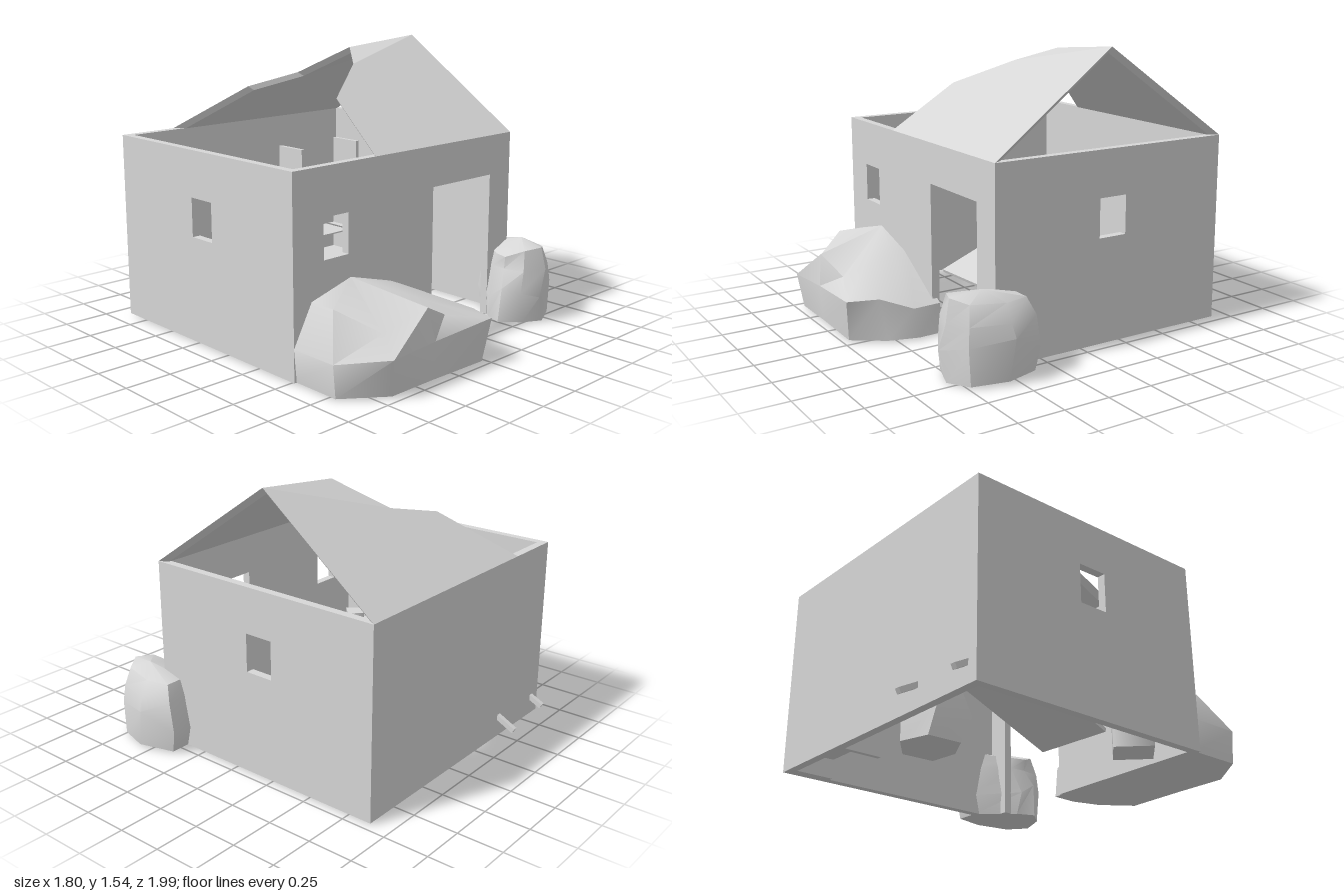
import * as THREE from 'three';
import { toCreasedNormals } from 'three/addons/utils/BufferGeometryUtils.js';

const stone = new THREE.MeshStandardMaterial({ color: 0xd6d6d6 });
stone.name = 'paleGrey';

const X0 = -0.905, X1 = 0.71, Z0 = -0.89, Z1 = 0.53; // house footprint
const BASE = 0.01, TOP = 1.04, T = 0.045;
const RIDGE_Z = -0.185, RIDGE_Y = 1.545;

function add(parent, name, geometry, x = 0, y = 0, z = 0) {
  const mesh = new THREE.Mesh(geometry, stone);
  mesh.name = name;
  mesh.position.set(x, y, z);
  parent.add(mesh);
  return mesh;
}

const outline = (pts) => pts.map(([x, y]) => new THREE.Vector2(x, y));
const rect = (x0, y0, x1, y1) => outline([[x0, y0], [x1, y0], [x1, y1], [x0, y1]]);

// Unindexed geometry from a flat list of corner points, three per triangle
function fromCorners(corners) {
  const g = new THREE.BufferGeometry().setFromPoints(corners);
  g.computeVertexNormals();
  return g;
}

// Upright wall panel from an outline and optional window openings
function wall(points, holes = []) {
  const shape = new THREE.Shape(points);
  for (const h of holes) shape.holes.push(new THREE.Path(h));
  return new THREE.ExtrudeGeometry(shape, { depth: T, bevelEnabled: false });
}

// Sloped roof slab from its broken outline in plan (counterclockwise from above).
// The underside is set in, so the broken ends face downwards.
function roofSlab(plan, eave) {
  const run = Math.abs(eave - RIDGE_Z), rise = RIDGE_Y - TOP;
  const inward = Math.sign(RIDGE_Z - eave), t = 0.028;
  const top = plan.map(([x, z, y]) =>
    new THREE.Vector3(x, y ?? TOP + rise * (1 - Math.abs(z - RIDGE_Z) / run), z));
  const under = top.map((p) =>
    new THREE.Vector3(p.x + (p.x > 0.5 ? -0.03 : 0.03), p.y - t * 0.82, p.z + inward * t * 0.57));
  const corners = [];
  const n = plan.length;
  for (const [a, b, c] of THREE.ShapeUtils.triangulateShape(outline(plan), [])) {
    const ab = plan[b][0] - plan[a][0], abz = plan[b][1] - plan[a][1];
    const ac = plan[c][0] - plan[a][0], acz = plan[c][1] - plan[a][1];
    const [q, r] = abz * ac - ab * acz > 0 ? [b, c] : [c, b]; // keep the top facing up
    corners.push(top[a], top[q], top[r], under[a], under[r], under[q]);
  }
  for (let i = 0; i < n; i++) {
    const j = (i + 1) % n;
    corners.push(top[i], under[i], under[j], top[i], under[j], top[j]);
  }
  return fromCorners(corners);
}

// Boulder: rings of points joined upwards, closed by a foot point and a peak
function boulder(foot, rings, peak) {
  const loops = rings.map((r) => r.map((p) => new THREE.Vector3(...p)));
  const low = new THREE.Vector3(...foot), high = new THREE.Vector3(...peak);
  const first = loops[0], last = loops[loops.length - 1];
  const corners = [];
  for (let i = 0; i < first.length; i++) {
    const j = (i + 1) % first.length;
    corners.push(low, first[j], first[i], last[i], last[j], high);
    for (let k = 0; k < loops.length - 1; k++) {
      const a = loops[k], b = loops[k + 1];
      corners.push(a[i], a[j], b[j], a[i], b[j], b[i]);
    }
  }
  return toCreasedNormals(fromCorners(corners), 0.75);
}

// Square stick between two points
function stick(parent, name, a, b, w) {
  const p = new THREE.Vector3(...a), q = new THREE.Vector3(...b);
  const mesh = add(parent, name, new THREE.BoxGeometry(w, w, p.distanceTo(q)));
  mesh.position.copy(p).lerp(q, 0.5);
  mesh.lookAt(q);
}

export function createModel() {
  const model = new THREE.Group();
  model.name = 'ruinedHouse';

  // Walls
  const front = outline([[X0, BASE], [0.07, BASE], [0.07, 0.82], [0.54, 0.82],
    [0.54, BASE], [X1, BASE], [X1, TOP], [X0, TOP]]);
  add(model, 'frontWall', wall(front, [rect(-0.71, 0.58, -0.545, 0.79)]), 0, 0, Z1 - T);
  add(model, 'backWall', wall(rect(X0, BASE, X1, TOP)), 0, 0, Z0);
  for (const [name, x] of [['leftWall', X1 - T], ['rightWall', X0]]) {
    const side = wall(rect(-Z1 + T, BASE, -Z0 - T, TOP), [rect(0.095, 0.58, 0.26, 0.79)]);
    side.rotateY(Math.PI / 2);
    add(model, name, side, x);
  }

  // Broken roof
  const ridge = [[0.665, RIDGE_Z, RIDGE_Y], [0.17, -0.205, 1.5]];
  add(model, 'frontRoof', roofSlab([[X1, Z1], ...ridge,
    [0.02, -0.02], [-0.295, 0.18], [-0.36, Z1]], Z1));
  add(model, 'backRoof', roofSlab([[X1, Z0], [-0.57, Z0], [-0.295, -0.545],
    [0, -0.455], ridge[1], ridge[0]], Z0));

  // Boulders
  add(model, 'largeBoulder', boulder([-0.4, 0.01, 0.75], [
    [[-0.89, 0.01, 0.5], [-0.89, 0.01, 0.8], [-0.68, 0.01, 0.96], [-0.4, 0.01, 0.96],
      [-0.04, 0.01, 0.97], [0.08, 0.01, 0.8], [0.125, 0.01, 0.64], [0.12, 0.01, 0.5]],
    [[-0.905, 0.18, 0.5], [-0.905, 0.18, 0.8], [-0.7, 0.2, 0.99], [-0.4, 0.21, 0.975],
      [0, 0.235, 0.995], [0.05, 0.235, 0.83], [0.11, 0.17, 0.66], [0.1, 0.17, 0.5]],
    [[-0.79, 0.39, 0.5], [-0.79, 0.39, 0.68], [-0.65, 0.285, 0.87], [-0.43, 0.38, 0.95],
      [-0.25, 0.29, 0.9], [-0.24, 0.33, 0.78], [-0.25, 0.38, 0.6], [-0.25, 0.38, 0.5]],
  ], [-0.53, 0.46, 0.53]));
  add(model, 'doorBoulder', boulder([0.7, 0.005, 0.58], [
    [[0.52, 0.01, 0.56], [0.48, 0.01, 0.66], [0.57, 0.01, 0.76], [0.7, 0, 0.8],
      [0.83, 0.01, 0.74], [0.89, 0.02, 0.56], [0.82, 0.01, 0.37], [0.68, 0.01, 0.37]],
    [[0.5, 0.14, 0.58], [0.495, 0.2, 0.67], [0.55, 0.18, 0.76], [0.65, 0.15, 0.815],
      [0.83, 0.2, 0.75], [0.9, 0.23, 0.53], [0.83, 0.13, 0.345], [0.68, 0.12, 0.345]],
    [[0.56, 0.3, 0.55], [0.55, 0.3, 0.64], [0.57, 0.3, 0.76], [0.71, 0.3, 0.805],
      [0.82, 0.3, 0.74], [0.875, 0.3, 0.54], [0.83, 0.3, 0.37], [0.68, 0.3, 0.38]],
    [[0.57, 0.37, 0.57], [0.545, 0.37, 0.65], [0.6, 0.41, 0.74], [0.7, 0.42, 0.78],
      [0.79, 0.4, 0.72], [0.83, 0.39, 0.54], [0.8, 0.39, 0.41], [0.68, 0.39, 0.41]],
  ], [0.73, 0.445, 0.62]));
  add(model, 'insideBoulder', boulder([-0.09, 0.01, -0.54], [
    [[-0.24, 0.01, -0.65], [-0.25, 0.01, -0.46], [-0.1, 0.01, -0.38],
      [0.06, 0.01, -0.4], [0.07, 0.01, -0.58], [-0.08, 0.01, -0.7]],
    [[-0.26, 0.16, -0.62], [-0.26, 0.15, -0.4], [-0.1, 0.15, -0.37],
      [0.05, 0.15, -0.36], [0.07, 0.16, -0.55], [-0.08, 0.16, -0.7]],
    [[-0.24, 0.3, -0.58], [-0.22, 0.31, -0.44], [-0.1, 0.31, -0.42],
      [0.02, 0.32, -0.42], [0.02, 0.33, -0.55], [-0.08, 0.33, -0.65]],
  ], [-0.09, 0.35, -0.54]));

  // Collapsed table with two legs driven through the back wall
  const table = new THREE.Group();
  table.name = 'collapsedTable';
  model.add(table);
  const board = add(table, 'tableTop', new THREE.BoxGeometry(0.41, 0.02, 0.705), -0.61, 0.145, -0.36);
  board.rotation.set(0.34, 0.072, 0, 'YXZ');
  stick(table, 'tableLeg', [-0.84, 0.075, -0.96], [-0.815, 0.235, -0.67], 0.028);
  stick(table, 'tableLeg', [-0.475, 0.07, -0.99], [-0.46, 0.235, -0.69], 0.028);

  // Four-sided jar with a narrow neck
  const jar = new THREE.Group();
  jar.name = 'jar';
  jar.position.set(-0.68, 0, 0.29);
  model.add(jar);
  add(jar, 'jarBody', new THREE.CylinderGeometry(0.143, 0.143, 0.32, 4), 0, 0.17, 0);
  add(jar, 'jarNeck', new THREE.CylinderGeometry(0.072, 0.072, 0.08, 4), 0, 0.37, 0);

  // Shelf rack against the back wall, one board fallen
  const rack = new THREE.Group();
  rack.name = 'shelfRack';
  model.add(rack);
  for (const x of [0.193, 0.652])
    add(rack, 'rackSide', new THREE.BoxGeometry(0.025, 0.84, 0.21), x, 0.43, -0.74);
  for (const y of [0.12, 0.28])
    add(rack, 'shelf', new THREE.BoxGeometry(0.435, 0.008, 0.21), 0.4225, y, -0.74);
  const fallen = add(rack, 'fallenShelf', new THREE.BoxGeometry(0.45, 0.008, 0.21), 0.415, 0.347, -0.74);
  fallen.rotation.z = -0.36;

  return model;
}
